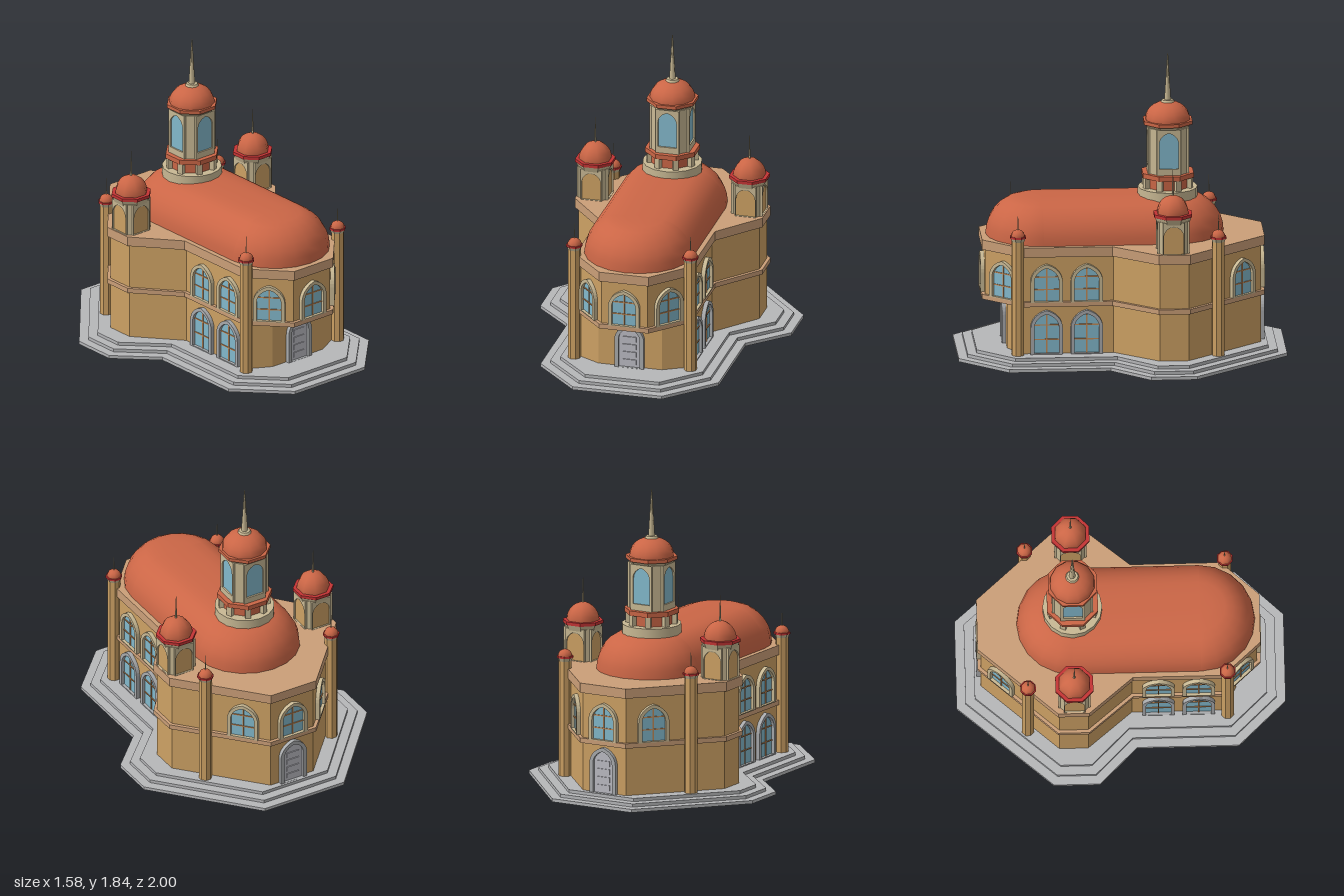
import * as THREE from 'three';
import { toCreasedNormals } from 'three/addons/utils/BufferGeometryUtils.js';

const mat = (name, color) => Object.assign(new THREE.MeshStandardMaterial({ color }), { name });

export function createModel() {
  const M = {
    stone: mat('step stone', 0xb6b7b9), wall: mat('ochre wall', 0xcda164), cornice: mat('cornice', 0xcb9f78),
    roof: mat('terracotta roof', 0xcb6646), trim: mat('beige trim', 0xc9b994), frame: mat('grey frame', 0xa9abad),
    glass: mat('blue glass', 0x83b9cc), red: mat('red band', 0xc43434), door: mat('door grey', 0xbcbcc4),
    bar: mat('window bar', 0xc58b57),
  };
  const root = new THREE.Group();
  const add = (parent, name, geo, material, x = 0, y = 0, z = 0) => {
    const m = new THREE.Mesh(geo, material);
    m.name = name;
    m.position.set(x, y, z);
    parent.add(m);
    return m;
  };
  const group = (parent, name, x, y, z, ry = 0) => {
    const g = new THREE.Group();
    g.name = name;
    g.position.set(x, y, z);
    g.rotation.y = ry;
    parent.add(g);
    return g;
  };
  const box = (w, h, d) => new THREE.BoxGeometry(w, h, d);
  const extrude = (shape, depth) => new THREE.ExtrudeGeometry(shape, { depth, bevelEnabled: false, curveSegments: 8 });

  // Plan outlines: the +x half as [x, z] from front to back, mirrored to -x
  const full = half => [...half, ...half.slice().reverse().map(([x, z]) => [-x, z])];
  const inset = (half, d) => {
    const p = full(half), n = p.length;
    const normal = (a, b) => {
      const dx = b[0] - a[0], dz = b[1] - a[1], l = Math.hypot(dx, dz);
      return [dz / l, -dx / l];
    };
    return half.map((v, i) => {
      const a = normal(p[(i + n - 1) % n], v), b = normal(v, p[(i + 1) % n]);
      const k = d / (1 + a[0] * b[0] + a[1] * b[1]);
      return [v[0] + (a[0] + b[0]) * k, v[1] + (a[1] + b[1]) * k];
    });
  };
  const slab = (parent, name, half, y0, y1, material) => {
    const shape = new THREE.Shape(full(half).map(([x, z]) => new THREE.Vector2(x, -z)));
    return add(parent, name, extrude(shape, y1 - y0).rotateX(-Math.PI / 2), material, 0, y0, 0);
  };

  // Stepped base
  const base = [[0.28, 1], [0.56, 0.71], [0.56, 0.09], [0.79, -0.14], [0.79, -0.42], [0.28, -1]];
  for (let i = 0; i < 3; i++) slab(root, 'step', inset(base, i * 0.056), i * 0.02, (i + 1) * 0.02, M.stone);

  // Walls and cornices; the upper floor overhangs the entrance
  const plan = [[0.155, 0.85], [0.365, 0.62], [0.365, 0.07], [0.59, -0.2], [0.59, -0.39], [0.16, -0.87]];
  const upper = inset(plan, 0.02);
  const lower = [[0.2, 0.7], [0.345, 0.62], ...upper.slice(2)];
  slab(root, 'lowerWall', lower, 0.06, 0.36, M.wall);
  slab(root, 'lowerCornice', plan, 0.358, 0.388, M.cornice);
  slab(root, 'upperWall', upper, 0.388, 0.67, M.wall);
  slab(root, 'upperCornice', plan, 0.67, 0.73, M.cornice);

  // Slightly pointed arch standing on y = 0
  const arch = (w, h, y = 0, T = THREE.Shape) => {
    const s = new T(), k = y + h - w * 1.15;
    s.moveTo(-w, y);
    s.lineTo(w, y);
    s.lineTo(w, k);
    s.bezierCurveTo(w, k + w * 0.62, w * 0.5, y + h - w * 0.12, 0, y + h);
    s.bezierCurveTo(-w * 0.5, y + h - w * 0.12, -w, k + w * 0.62, -w, k);
    s.lineTo(-w, y);
    return s;
  };
  const archFrame = (w, h, t, sill) => {
    const s = arch(w, h);
    s.holes.push(arch(w - t, h - t - sill, sill, THREE.Path));
    return s;
  };
  const window_ = (x, y, z, ry, h, material) => {
    const g = group(root, 'window', x, y, z, ry);
    add(g, 'windowFrame', extrude(archFrame(0.098, h, 0.023, 0.006), 0.025), material);
    add(g, 'windowGlass', extrude(arch(0.078, h - 0.02), 0.006), M.glass);
    add(g, 'windowMullion', box(0.008, h - 0.03, 0.006), M.bar, 0, (h - 0.03) / 2, 0.008);
    for (const t of [0.33, 0.66]) add(g, 'windowBar', box(0.15, 0.007, 0.006), M.bar, 0, h * t, 0.008);
  };
  const door = (z, ry) => {
    const g = group(root, 'door', 0, 0.06, z, ry);
    add(g, 'doorFrame', extrude(archFrame(0.092, 0.285, 0.025, 0.001), 0.025), M.frame);
    add(g, 'doorLeaf', extrude(arch(0.07, 0.262), 0.008), M.door);
    for (let i = 0; i < 4; i++) add(g, 'doorPanel', box(0.085, 0.032, 0.008), M.door, 0, 0.035 + i * 0.05, 0.01);
  };
  door(0.7, 0);
  door(-0.85, Math.PI);
  window_(0, 0.386, 0.83, 0, 0.235, M.trim);
  window_(0, 0.386, -0.85, Math.PI, 0.235, M.trim);
  for (const s of [1, -1]) {
    for (const z of [0.47, 0.225]) {
      window_(s * 0.345, 0.06, z, s * Math.PI / 2, 0.275, M.frame);
      window_(s * 0.345, 0.386, z, s * Math.PI / 2, 0.238, M.trim);
    }
    window_(s * 0.245, 0.386, 0.7215, s * Math.atan2(0.23, 0.21), 0.235, M.trim);
    window_(s * 0.266, 0.386, -0.722, s * Math.atan2(0.48, -0.43), 0.235, M.trim);
  }

  // Long vaulted roof with rounded ends
  const profile = [[0.335, 0], [0.33, 0.05], [0.315, 0.098], [0.288, 0.144], [0.25, 0.184], [0.205, 0.213], [0.155, 0.228], [0.08, 0.234], [0, 0.235]]
    .map(([x, y]) => new THREE.Vector2(x, y));
  const vault = new THREE.Shape([...profile, ...profile.slice(0, -1).reverse().map(p => new THREE.Vector2(-p.x, p.y))]);
  const roof = group(root, 'mainRoof', 0, 0.73, 0);
  add(roof, 'vault', toCreasedNormals(extrude(vault, 0.78), 0.7), M.roof, 0, 0, -0.295);
  add(roof, 'frontApse', new THREE.LatheGeometry(profile, 10, -Math.PI / 2, Math.PI), M.roof, 0, 0, 0.485);
  add(roof, 'backApse', new THREE.LatheGeometry(profile, 10, Math.PI / 2, Math.PI), M.roof, 0, 0, -0.295);

  // Eight-sided drums, sized by the half width across flats
  const drum = (parent, name, r0, r1, y0, y1, material) => {
    const k = Math.cos(Math.PI / 8);
    const g = new THREE.CylinderGeometry(r1 / k, r0 / k, y1 - y0, 8).rotateY(Math.PI / 8);
    return add(parent, name, toCreasedNormals(g, 0.5), material, 0, (y0 + y1) / 2, 0);
  };
  const dome = (parent, r, h, y, n) => {
    const g = new THREE.SphereGeometry(r, n, 7, 0, Math.PI * 2, 0, Math.PI / 2).scale(1, h / r, 1).rotateY(Math.PI / n);
    add(parent, 'dome', g, M.roof, 0, y, 0);
  };
  const spike = (parent, r, y0, y1) =>
    add(parent, 'spire', new THREE.CylinderGeometry(r * 0.15, r, y1 - y0, 6), M.trim, 0, (y0 + y1) / 2, 0);

  // Lantern body: chamfered core with an arched opening on each of four sides
  const lantern = (parent, r, f, h, w, sill, y, panel) => {
    const g = group(parent, 'lantern', 0, y, 0), c = r - 0.014;
    const core = [[f, c], [c, f], [c, -f], [f, -c]];
    slab(g, 'lanternCore', core, 0, h, M.trim);
    for (let i = 0; i < 4; i++) {
      const side = group(g, 'lanternSide', 0, 0, 0, i * Math.PI / 2);
      const s = new THREE.Shape([[-f, 0], [f, 0], [f, h], [-f, h]].map(p => new THREE.Vector2(...p)));
      s.holes.push(arch(w, h - sill - 0.02, sill, THREE.Path));
      add(side, 'lanternFrame', extrude(s, 0.014), M.trim, 0, 0, c);
      add(side, 'lanternPanel', extrude(arch(w, h - sill - 0.02, sill), 0.004), panel, 0, 0, c);
    }
  };

  // Central tower
  const tower = group(root, 'centralTower', 0, 0, -0.29);
  add(tower, 'towerBase', new THREE.CylinderGeometry(0.182, 0.182, 0.08, 16), M.trim, 0, 0.97, 0);
  drum(tower, 'towerDrum', 0.126, 0.126, 1.0, 1.08, M.roof);
  for (let i = 0; i < 8; i++) {
    const a = (i + 0.5) * Math.PI / 4;
    add(tower, 'pilaster', box(0.035, 0.07, 0.03), M.trim, Math.sin(a) * 0.143, 1.043, Math.cos(a) * 0.143).rotation.y = a;
  }
  drum(tower, 'drumCornice', 0.155, 0.155, 1.076, 1.106, M.roof);
  lantern(tower, 0.125, 0.074, 0.285, 0.058, 0.04, 1.106, M.glass);
  drum(tower, 'lanternCap', 0.12, 0.138, 1.385, 1.41, M.trim);
  drum(tower, 'domeRing', 0.147, 0.147, 1.41, 1.432, M.roof);
  dome(tower, 0.139, 0.115, 1.43, 12);
  add(tower, 'finialBase', new THREE.CylinderGeometry(0.035, 0.042, 0.014, 10), M.trim, 0, 1.546, 0);
  spike(tower, 0.02, 1.55, 1.84);

  for (const s of [1, -1]) {
    // Side turrets
    const turret = group(root, 'sideTurret', s * 0.485, 0, -0.29);
    lantern(turret, 0.098, 0.066, 0.2, 0.06, 0.002, 0.73, M.wall);
    drum(turret, 'turretCap', 0.092, 0.11, 0.9, 0.952, M.trim);
    drum(turret, 'turretBand', 0.115, 0.115, 0.952, 0.972, M.red);
    dome(turret, 0.101, 0.11, 0.97, 8);
    spike(turret, 0.007, 1.07, 1.24);

    // Corner columns with small domes
    for (const [x, z] of [[0.365, 0.645], [0.445, -0.57]]) {
      const col = group(root, 'cornerColumn', s * x, 0, z);
      drum(col, 'columnShaft', 0.037, 0.037, 0.06, 0.79, M.wall);
      drum(col, 'columnCap', 0.037, 0.044, 0.775, 0.795, M.trim);
      drum(col, 'columnBand', 0.047, 0.047, 0.795, 0.807, M.red);
      dome(col, 0.044, 0.043, 0.805, 8);
      spike(col, 0.004, 0.84, 0.955);
    }
  }
  return root;
}
